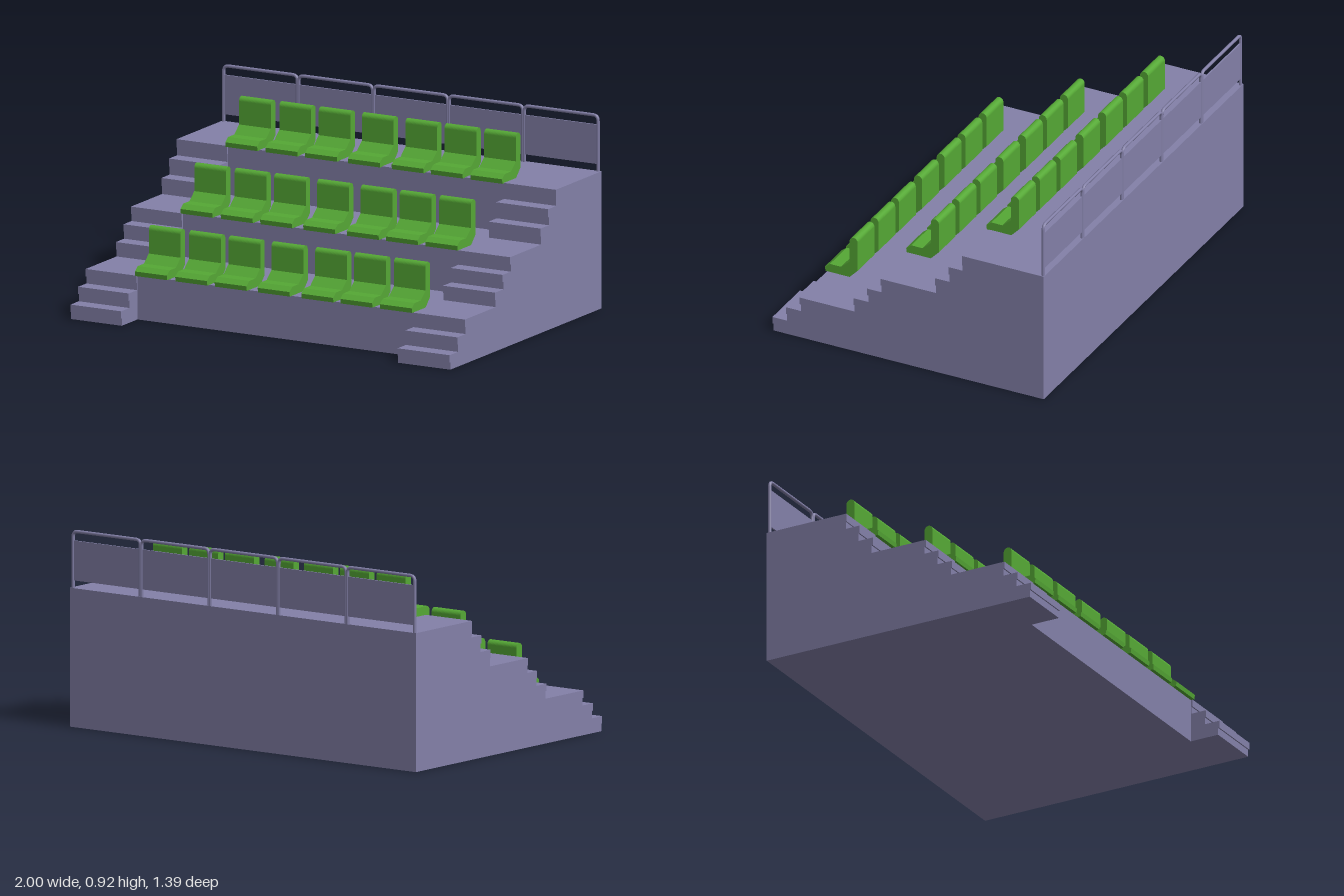
import * as THREE from 'three';

const concrete = new THREE.MeshStandardMaterial({ color: 0x8380a8, flatShading: true });
const plastic = new THREE.MeshStandardMaterial({ color: 0x55a835, flatShading: true });
const metal = new THREE.MeshStandardMaterial({ color: 0x8380a8 });

// Extrudes a side profile of [z, y] points (or a ready Shape with x = -z) from x0 to x1
function extrudeSide(profile, x0, x1) {
  const shape = Array.isArray(profile)
    ? new THREE.Shape(profile.map(([z, y]) => new THREE.Vector2(-z, y)))
    : profile;
  const geo = new THREE.ExtrudeGeometry(shape, { depth: x1 - x0, bevelEnabled: false, curveSegments: 8 });
  return geo.rotateY(Math.PI / 2).translate(x0, 0, 0);
}

function addMesh(parent, name, geo, mat) {
  const mesh = new THREE.Mesh(geo, mat);
  mesh.name = name;
  parent.add(mesh);
  return mesh;
}

// Three steps with a slightly overhanging nosing, rising from y0 to y1
function flightProfile(fronts, y0, y1, back) {
  const rise = (y1 - y0) / 3, lip = 0.006;
  const pts = [];
  fronts.forEach((z, i) => {
    const y = y0 + i * rise;
    pts.push([z - lip, y], [z - lip, y + rise * 0.5], [z, y + rise * 0.5], [z, y + rise]);
  });
  pts.push([back, y1], [back, y0]);
  return pts;
}

// Seat shell: flat pan, slanted corner, round-topped back
function seatShape() {
  const s = new THREE.Shape();
  s.moveTo(-0.568, 0.208);
  s.lineTo(-0.444, 0.208);
  s.lineTo(-0.403, 0.25);
  s.lineTo(-0.403, 0.398);
  s.absarc(-0.4235, 0.398, 0.0205, 0, Math.PI, false);
  s.lineTo(-0.444, 0.288);
  s.lineTo(-0.488, 0.25);
  s.lineTo(-0.545, 0.25);
  s.lineTo(-0.571, 0.23);
  return s;
}

export function createModel() {
  const model = new THREE.Group();
  model.name = 'grandstand';

  // Stepped terrace, full width
  const tiers = [
    { y: 0.208, front: 0.55, steps: [0.70, 0.63, 0.56] },
    { y: 0.415, front: 0.13, steps: [0.283, 0.213, 0.145] },
    { y: 0.645, front: -0.28, steps: [-0.135, -0.205, -0.275] },
  ];
  const back = -0.695;
  const body = [[back, 0]];
  let level = 0;
  for (const t of tiers) {
    body.push([t.front, level], [t.front, t.y]);
    level = t.y;
  }
  body.push([back, level]);
  addMesh(model, 'terrace', extrudeSide(body, -1, 1), concrete);

  // Stair flights at both ends of every tier
  const stairs = new THREE.Group();
  stairs.name = 'stairs';
  model.add(stairs);
  tiers.forEach((t, i) => {
    const profile = flightProfile(t.steps, i ? tiers[i - 1].y : 0, t.y, t.front);
    addMesh(stairs, 'leftFlight', extrudeSide(profile, 0.725, 1), concrete);
    addMesh(stairs, 'rightFlight', extrudeSide(profile, -1, -0.733), concrete);
  });

  // Three rows of seven seats
  const seatGeo = extrudeSide(seatShape(), -0.084, 0.084);
  const rowOffsets = [[0, 0], [0.207, -0.418], [0.435, -0.83]];
  const seatX = [-0.65, -0.438, -0.23, -0.003, 0.227, 0.433, 0.642];
  rowOffsets.forEach(([dy, dz], r) => {
    const row = new THREE.Group();
    row.name = 'seatRow' + (r + 1);
    row.position.set(0, dy, dz);
    for (const x of seatX) addMesh(row, 'seat', seatGeo, plastic).position.x = x;
    model.add(row);
  });

  // Rear railing: round-cornered hoops, each with an infill panel
  const railing = new THREE.Group();
  railing.name = 'railing';
  model.add(railing);
  const bays = 5, pitch = 1.982 / bays, r = 0.008, top = 0.908, bend = 0.025;
  const h = pitch / 2 - 0.004;
  const hoop = new THREE.CurvePath();
  const v = (x, y) => new THREE.Vector3(x, y, 0);
  hoop.add(new THREE.LineCurve3(v(-h, 0.64), v(-h, top - bend)));
  hoop.add(new THREE.QuadraticBezierCurve3(v(-h, top - bend), v(-h, top), v(-h + bend, top)));
  hoop.add(new THREE.LineCurve3(v(-h + bend, top), v(h - bend, top)));
  hoop.add(new THREE.QuadraticBezierCurve3(v(h - bend, top), v(h, top), v(h, top - bend)));
  hoop.add(new THREE.LineCurve3(v(h, top - bend), v(h, 0.64)));
  const hoopGeo = new THREE.TubeGeometry(hoop, 120, r, 8, false);
  const panelGeo = new THREE.BoxGeometry(2 * h, 0.185, 0.008);
  for (let i = 0; i < bays; i++) {
    const x = (i - (bays - 1) / 2) * pitch;
    addMesh(railing, 'hoop', hoopGeo, metal).position.set(x, 0, -0.686);
    addMesh(railing, 'panel', panelGeo, concrete).position.set(x, 0.7725, -0.686);
  }

  return model;
}
